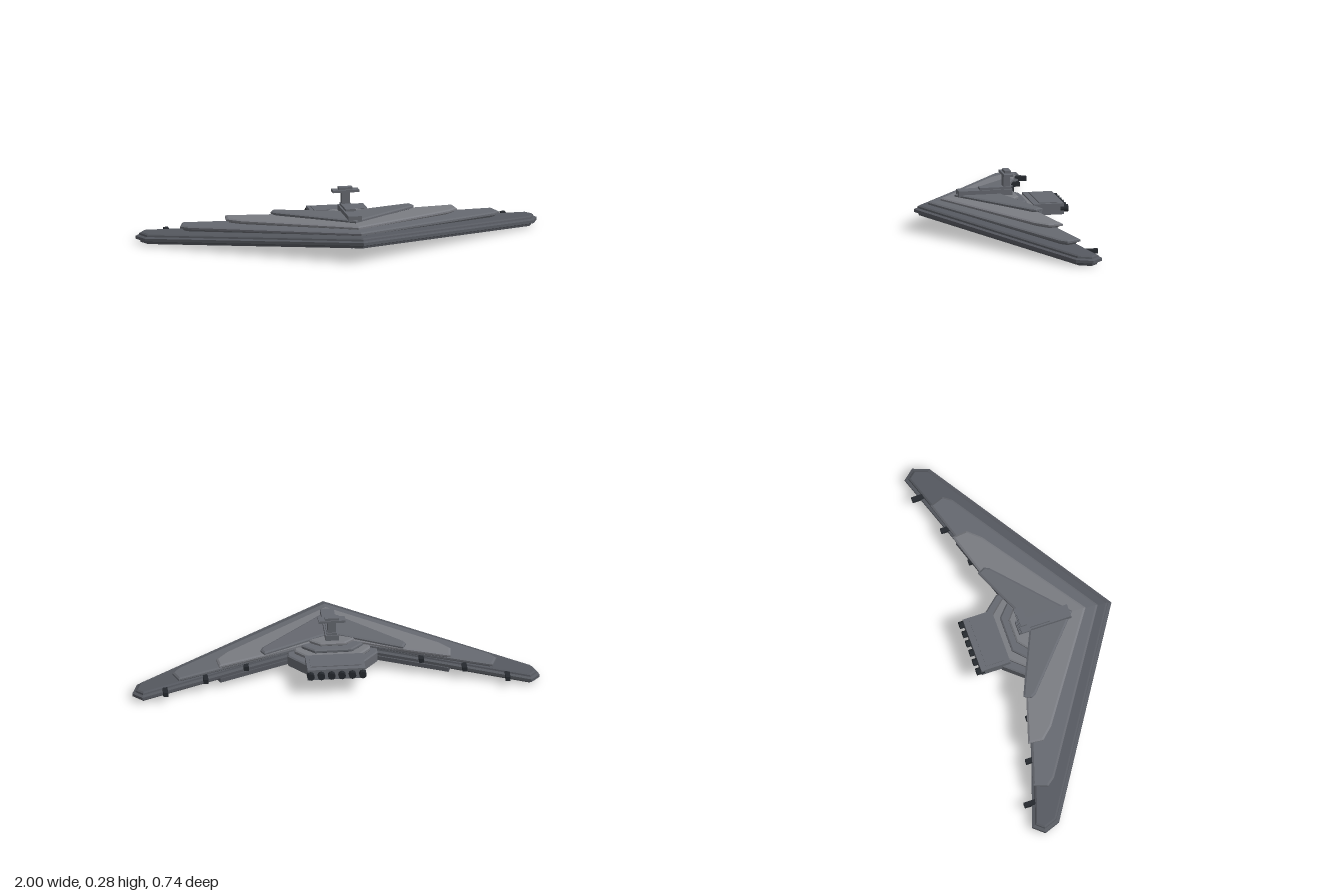
import * as THREE from 'three';

const DARK = 0x565960, MID = 0x666970, LIGHT = 0x7a7c82, BLACK = 0x25292e;
const paint = (color) => new THREE.MeshStandardMaterial({ color, flatShading: true });

// Insets a half outline of [x, z] points; the edge on the centre line stays put
function inset(outline, d) {
  const n = outline.length;
  const normal = (i) => {
    const [ax, az] = outline[i], [bx, bz] = outline[(i + 1) % n];
    const l = Math.hypot(bx - ax, bz - az);
    return [(bz - az) / l, -(bx - ax) / l];
  };
  return outline.map(([x, z], i) => {
    const p = (i + n - 1) % n;
    const [ax, az] = normal(p), [bx, bz] = normal(i);
    const da = p === n - 1 ? 0 : d, db = i === n - 1 ? 0 : d;
    const det = ax * bz - az * bx;
    return [x + (da * bz - db * az) / det, z + (ax * db - bx * da) / det];
  });
}

// Half of a chamfered plate: rings of [inset, y] bottom to top, drooping outward
function halfPlate(outline, profile, droop) {
  const n = outline.length, pos = [], index = [];
  const rings = profile.map(([d]) => inset(outline, d));
  rings.forEach((ring, k) => ring.forEach(([x, z]) => pos.push(x, profile[k][1] - droop * x, z)));
  for (let k = 0; k < rings.length - 1; k++) {
    for (let i = 0; i < n - 1; i++) {
      const a = k * n + i, b = a + 1;
      index.push(a, b, b + n, a, b + n, a + n);
    }
  }
  const cap = (ring) => THREE.ShapeUtils.triangulateShape(ring.map(([x, z]) => new THREE.Vector2(x, -z)), []);
  const top = (rings.length - 1) * n;
  cap(rings[rings.length - 1]).forEach(([a, b, c]) => index.push(top + a, top + b, top + c));
  cap(rings[0]).forEach(([a, b, c]) => index.push(c, b, a));
  const indexed = new THREE.BufferGeometry();
  indexed.setAttribute('position', new THREE.Float32BufferAttribute(pos, 3));
  indexed.setIndex(index);
  const g = indexed.toNonIndexed();
  g.computeVertexNormals();
  return g;
}

export function createModel() {
  const model = new THREE.Group();

  function plate(name, color, outline, profile, droop = 0) {
    const group = new THREE.Group();
    group.name = name;
    const g = halfPlate(outline, profile, droop);
    for (const side of [1, -1]) {
      const mesh = new THREE.Mesh(g, paint(color));
      mesh.name = name + (side > 0 ? 'Left' : 'Right');
      mesh.scale.x = side;
      group.add(mesh);
    }
    model.add(group);
  }
  // Box given by its extents
  function box(name, color, x0, x1, y0, y1, z0, z1) {
    const mesh = new THREE.Mesh(new THREE.BoxGeometry(x1 - x0, y1 - y0, z1 - z0), paint(color));
    mesh.position.set((x0 + x1) / 2, (y0 + y1) / 2, (z0 + z1) / 2);
    mesh.name = name;
    model.add(mesh);
  }
  // Deck profile with a hidden skirt reaching into the layer below
  const deck = (y0, y1) => [[0.025, y0 - 0.02], [0.012, y0], [0, y0 + 0.004], [0, y1 - 0.005], [0.009, y1]];

  // Main swept hull
  plate('mainHull', DARK,
    [[0, 0.37], [0.97, -0.235], [1, -0.315], [0.955, -0.368], [0.43, -0.195], [0, -0.06]],
    [[0.022, 0.072], [0.018, 0.083], [0, 0.09], [0, 0.104], [0.014, 0.109], [0.016, 0.117], [0.024, 0.122]], 0.075);

  // Stacked wing decks
  plate('lowerDeck', MID,
    [[0, 0.30], [0.765, -0.19], [0.795, -0.23], [0.77, -0.3], [0.43, -0.195], [0, -0.06]],
    deck(0.12, 0.138), 0.06);
  plate('middleDeck', LIGHT,
    [[0, 0.237], [0.52, -0.12], [0.575, -0.18], [0.567, -0.255], [0.35, -0.19], [0, -0.06]],
    deck(0.137, 0.154), 0.046);
  plate('upperDeck', MID,
    [[0, 0.167], [0.345, -0.14], [0.357, -0.165], [0.34, -0.202], [0.22, -0.15], [0, -0.05]],
    deck(0.153, 0.17), 0.035);

  // Belly plate and keel
  plate('bellyPlate', DARK,
    [[0, 0.25], [0.55, -0.1], [0.58, -0.18], [0.56, -0.24], [0.22, -0.13], [0, -0.06]],
    [[0.012, 0.058], [0, 0.063], [0, 0.085]], 0.07);
  box('keel', MID, -0.028, 0.028, 0.037, 0.08, -0.1, 0.187);

  // Stepped stern terraces
  [[0.22, 0.14, -0.15, -0.243, 0.05, 0.105], [0.185, 0.115, -0.135, -0.212, 0.105, 0.125],
    [0.15, 0.09, -0.12, -0.175, 0.125, 0.143], [0.11, 0.06, -0.1, -0.14, 0.143, 0.16]]
    .forEach(([w, wb, zs, zb, y0, y1], i) => plate('sternTerrace' + (i + 1), i % 2 ? LIGHT : MID,
      [[0, -0.03], [w, -0.03], [w, zs], [wb, zb], [0, zb]],
      [[0.008, y0 - 0.005], [0, y0 + 0.003], [0, y1 - 0.005], [0.007, y1]]));

  // Engine block with a row of nozzles
  box('engineBlock', MID, -0.142, 0.142, 0.076, 0.131, -0.349, -0.2);
  box('engineCover', MID, -0.125, 0.125, 0.13, 0.135, -0.32, -0.23);
  for (let i = 0; i < 6; i++) {
    const nozzle = new THREE.Mesh(new THREE.CylinderGeometry(0.018, 0.018, 0.04, 12), paint(BLACK));
    nozzle.rotation.x = Math.PI / 2;
    nozzle.position.set((i - 2.5) * 0.051, 0.104, -0.352);
    nozzle.name = 'engineNozzle' + (i + 1);
    model.add(nozzle);
  }

  // Bridge spine and command tower
  box('bridgeSpine', MID, -0.033, 0.033, 0.16, 0.188, -0.117, 0.152);
  box('bridgeDeck', MID, -0.025, 0.025, 0.187, 0.199, -0.112, 0.045);
  box('tower', MID, -0.02, 0.02, 0.19, 0.26, -0.107, -0.073);
  box('towerHead', MID, -0.066, 0.066, 0.256, 0.268, -0.114, -0.067);
  box('towerCap', MID, -0.034, 0.034, 0.267, 0.28, -0.109, -0.078);

  // Small thrusters along the trailing edge
  for (const side of [1, -1]) {
    [[0.84, 0.043, -0.345], [0.635, 0.062, -0.267], [0.43, 0.082, -0.195]].forEach(([x, y, z], i) =>
      box('wingThruster' + (i + 1) + (side > 0 ? 'Left' : 'Right'), BLACK,
        side * x - 0.012, side * x + 0.012, y - 0.011, y + 0.011, z - 0.025, z + 0.04));
  }
  return model;
}
